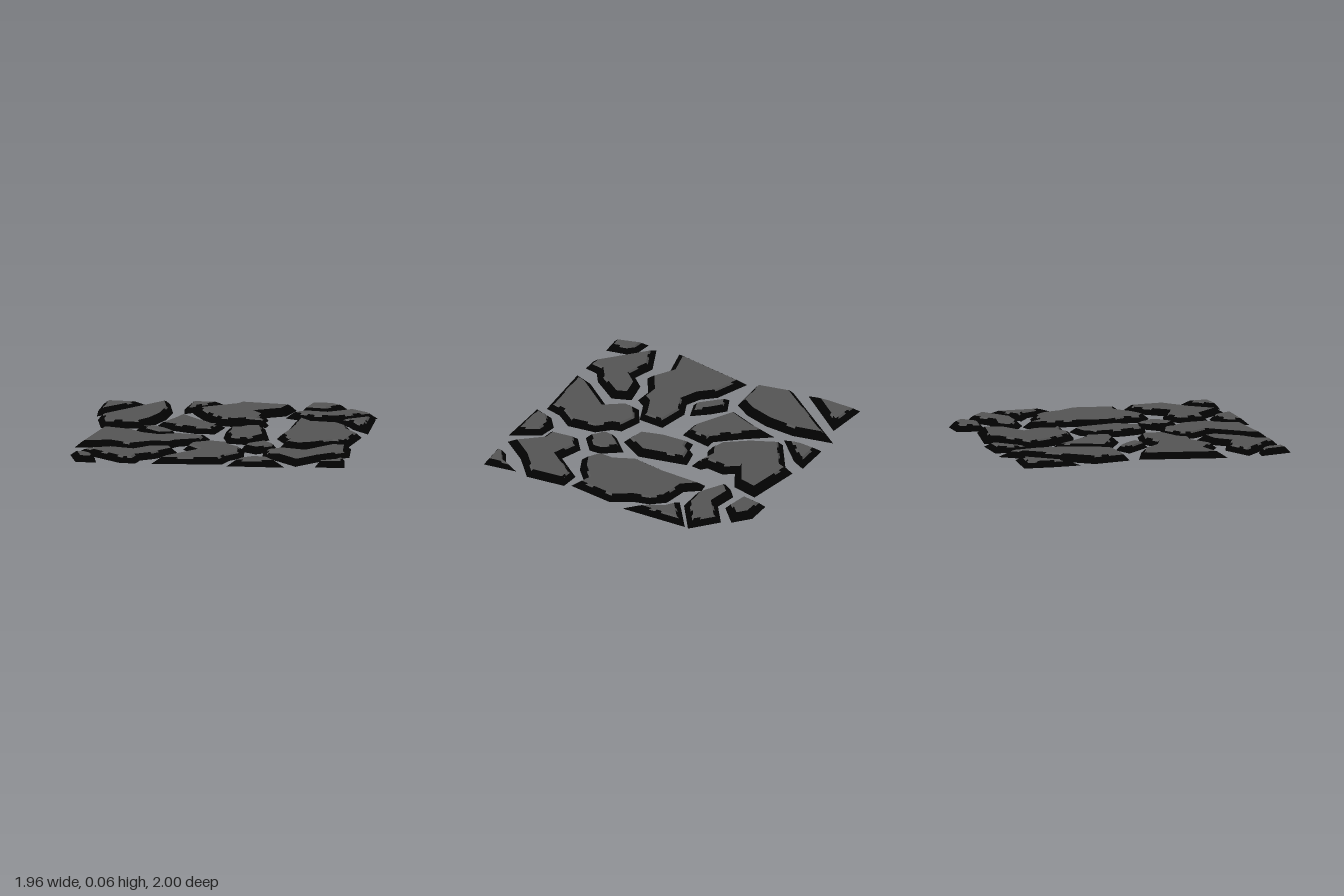
import * as THREE from 'three';

// The stones are open shells underneath, so both sides show
const stoneGrey = new THREE.MeshStandardMaterial({ color: 0x545454, side: THREE.DoubleSide });
stoneGrey.name = 'stone grey';
const edgeBlack = new THREE.MeshStandardMaterial({ color: 0x020202, side: THREE.DoubleSide });
edgeBlack.name = 'edge black';

let seed = 7;
const random = () => (seed = (seed * 16807) % 2147483647) / 2147483647;

// Moves every side of an [x, z] outline inwards by d
function inset(points, d) {
  const n = points.length;
  const normal = (a, b) => {
    const l = Math.hypot(b[0] - a[0], b[1] - a[1]);
    return [(a[1] - b[1]) / l, (b[0] - a[0]) / l];
  };
  return points.map((p, i) => {
    const u = normal(points[(i + n - 1) % n], p);
    const v = normal(p, points[(i + 1) % n]);
    const k = d / Math.max(0.2, 1 + u[0] * v[0] + u[1] * v[1]);
    return [p[0] + (u[0] + v[0]) * k, p[1] + (u[1] + v[1]) * k];
  });
}

const ring = (points, y) => points.map(([x, z]) => new THREE.Vector3(x, y, z));

// Wall panel between lower edge a-b and upper edge c-d
const panel = (out, a, b, c, d) => out.push(a, d, b, a, c, d);

// Flat top face
function cap(out, points, y) {
  const verts = ring(points, y);
  const flat = points.map(([x, z]) => new THREE.Vector2(x, z));
  for (const [a, b, c] of THREE.ShapeUtils.triangulateShape(flat, [])) {
    const [p, q, r] = [verts[a], verts[b], verts[c]];
    const ny = (q.z - p.z) * (r.x - p.x) - (q.x - p.x) * (r.z - p.z);
    if (ny > 0) out.push(p, q, r);
    else out.push(p, r, q);
  }
}

function facetedMesh(name, verts, material) {
  const geometry = new THREE.BufferGeometry().setFromPoints(verts);
  geometry.computeVertexNormals();
  const mesh = new THREE.Mesh(geometry, material);
  mesh.name = name;
  return mesh;
}

// Paving stone: sloping black rim, grey chips along the top edge, grey face
function stone(name, points, { base = 0.012, top = 0.053, rim = 0.047 } = {}) {
  const grey = [], black = [];
  const outline = inset(points, -0.005);
  const face = inset(outline, rim);
  const foot = ring(outline, base);
  const mid = ring(inset(outline, rim * 0.72), top - 0.01);
  const crown = ring(face, top);
  foot.forEach((corner, i) => {
    const j = (i + 1) % foot.length;
    panel(black, corner, foot[j], mid[i], mid[j]);
    const pieces = Math.max(1, Math.round(corner.distanceTo(foot[j]) / 0.07));
    const along = (loop, k) => loop[i].clone().lerp(loop[j], k / pieces);
    for (let k = 0; k < pieces; k++) {
      const colour = random() < 0.4 ? grey : black;
      panel(colour, along(mid, k), along(mid, k + 1), along(crown, k), along(crown, k + 1));
    }
  });
  cap(grey, face, top);
  const group = new THREE.Group();
  group.name = name;
  group.add(facetedMesh('stoneFace', grey, stoneGrey), facetedMesh('stoneRim', black, edgeBlack));
  return group;
}

export function createModel() {
  const model = new THREE.Group();
  model.name = 'stonePaving';
  const add = (...args) => model.add(stone(...args));

  // Back row
  add('backRightCornerStone', [[-.94, -.94], [-.64, -.91], [-.94, -.55], [-.95, -.72]]);
  add('leafStone', [[-.49, -.98], [-.44, -.7], [-.46, -.48], [-.52, -.3], [-.6, -.18], [-.87, -.17],
    [-.92, -.43]], { top: 0.062 });
  add('backWedgeStone', [[-.35, -.97], [-.1, -.97], [-.15, -.88], [-.35, -.69], [-.365, -.83]]);
  add('backLargeStone', [[0, -.94], [.395, -.87], [.345, -.69], [.19, -.605], [.24, -.53], [.22, -.4],
    [.26, -.37], [.25, -.3], [.11, -.34], [.03, -.3], [-.08, -.335], [-.2, -.5], [-.29, -.7],
    [-.03, -.87]], { top: 0.065 });
  add('backSmallStone', [[.475, -.995], [.65, -.995], [.76, -.9], [.62, -.775], [.44, -.81]],
    { top: 0.058 });
  add('backBentStone', [[.47, -.74], [.63, -.71], [.8, -.83], [.975, -.68], [.73, -.51], [.55, -.51],
    [.36, -.62], [.4, -.68]], { top: 0.056 });
  add('leftEdgeStone', [[.97, -.64], [.97, -.17], [.86, -.3], [.82, -.39], [.72, -.46]]);

  // Middle
  add('leftLargeStone', [[.44, -.5], [.5, -.51], [.575, -.41], [.755, -.38], [.83, -.29], [.86, -.17],
    [.94, -.04], [.885, .29], [.78, .255], [.675, .345], [.55, .4], [.43, .33], [.44, .21],
    [.375, .065], [.42, -.18]]);
  add('middleStone', [[-.355, -.59], [-.23, -.42], [-.095, -.26], [-.03, -.26], [-.075, -.045],
    [-.215, -.05], [-.5, -.2], [-.41, -.415]]);
  add('middleSmallStone', [[-.495, -.145], [-.405, -.065], [-.32, .04], [-.45, .085], [-.62, -.09]],
    { rim: 0.036 });
  add('centreStone', [[.115, -.22], [.25, -.25], [.315, .09], [.2, .265], [.05, .23], [.005, .055],
    [0, -.155], [.075, -.17]], { base: 0.008, top: 0.052 });
  add('rightLargeStone', [[-.86, -.09], [-.62, 0], [-.535, .095], [-.43, .14], [-.31, .09], [-.09, .135],
    [-.105, .315], [-.275, .385], [-.32, .45], [-.44, .44], [-.6, .535], [-.75, .445], [-.975, .5]]);
  add('sunkenSmallStone', [[.31, .22], [.4, .345], [.4, .425], [.275, .525], [.16, .44], [.175, .35]],
    { base: 0, top: 0.045, rim: 0.04 });

  // Front row
  add('frontRightStone', [[-.72, .575], [-.565, .625], [-.48, .535], [-.3, .5], [-.255, .625],
    [-.395, .81], [-.49, .875], [-.51, .97], [-.61, .97], [-.94, .67]]);
  add('frontMiddleStone', [[-.065, .305], [.09, .355], [.105, .42], [.19, .505], [.21, .705], [.12, .82],
    [.085, .94], [-.39, .975], [-.34, .85], [-.14, .61], [-.225, .49], [-.205, .39]]);
  add('frontLeftStone', [[.45, .48], [.61, .535], [.775, .335], [.91, .345], [.93, .62], [.75, .77],
    [.6, .955], [.445, .775], [.35, .765], [.335, .565]]);
  add('frontEdgeStone', [[.285, .785], [.405, .805], [.52, .995], [.135, .995], [.185, .86]]);
  add('frontRightCornerStone', [[-.975, .755], [-.865, .77], [-.81, .825], [-.785, .965],
    [-.915, .975]], { rim: 0.038 });
  add('frontLeftCornerStone', [[.91, .735], [.935, .955], [.74, .97], [.75, .9], [.855, .84]],
    { rim: 0.03 });
  return model;
}
